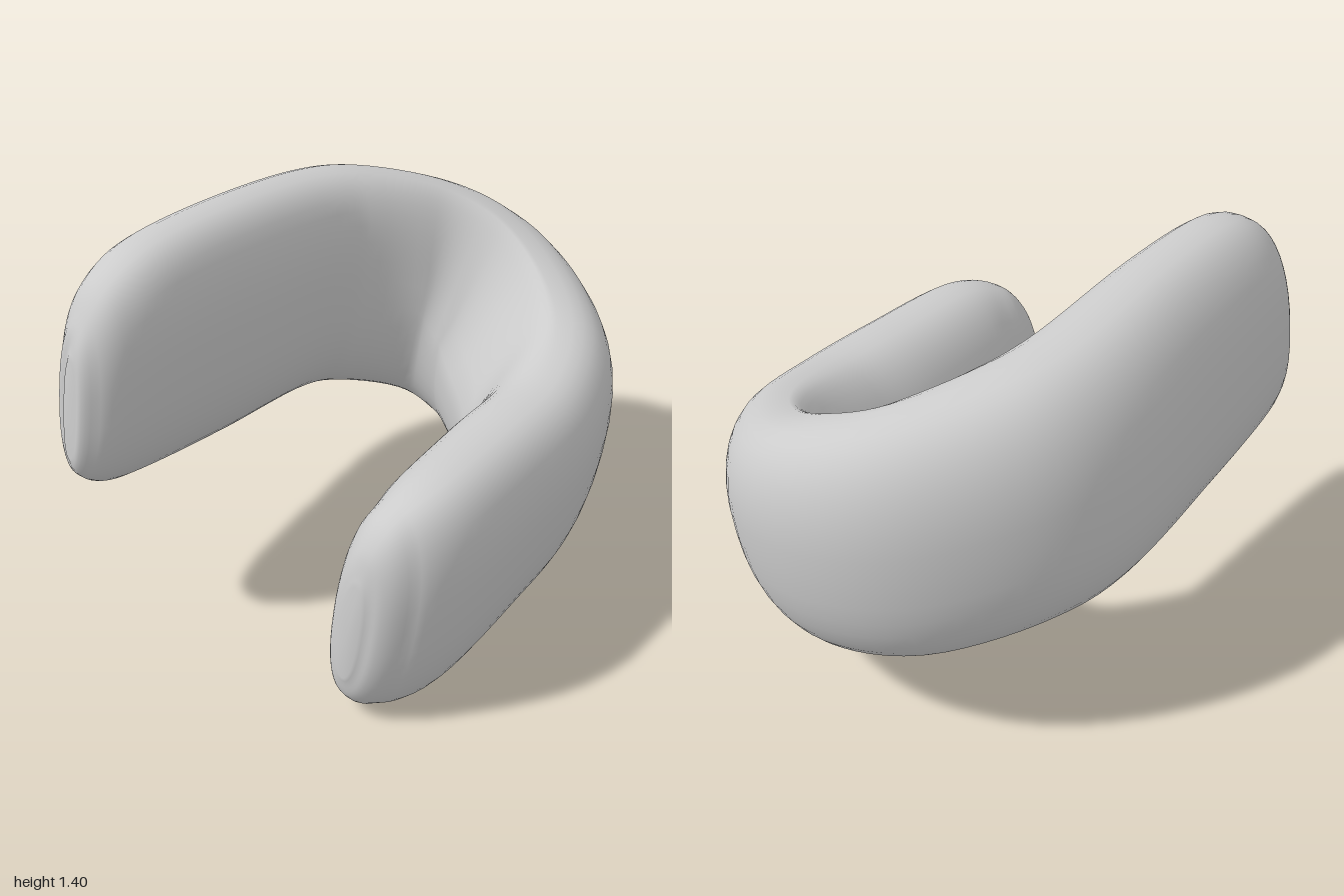
import * as THREE from 'three';

// Sections along the curved cushion: centre x, y, z, half height, half thickness, upper inner slant
const SECTIONS = [
  [-0.41, 0.37, 0.70, 0.18, 0.04, 0],
  [-0.38, 0.385, 0.69, 0.29, 0.10, 0],
  [-0.30, 0.40, 0.67, 0.37, 0.155, 0],
  [-0.13, 0.415, 0.625, 0.412, 0.21, 0],
  [0.20, 0.44, 0.46, 0.40, 0.23, 0],
  [0.46, 0.465, 0.31, 0.39, 0.24, 0.04],
  [0.65, 0.53, 0.10, 0.40, 0.26, 0.14],
  [0.715, 0.61, -0.14, 0.42, 0.27, 0.2],
  [0.68, 0.71, -0.36, 0.43, 0.26, 0.18],
  [0.53, 0.80, -0.53, 0.43, 0.25, 0.1],
  [0.25, 0.88, -0.60, 0.43, 0.25, 0.03],
  [0.00, 0.92, -0.56, 0.43, 0.24, 0],
  [-0.40, 0.96, -0.35, 0.435, 0.22, 0],
  [-0.72, 0.98, -0.18, 0.412, 0.20, 0],
  [-0.88, 0.96, -0.10, 0.36, 0.16, 0],
  [-0.96, 0.93, -0.07, 0.27, 0.10, 0],
  [-0.99, 0.91, -0.065, 0.18, 0.04, 0],
];
const RINGS = 96, SIDES = 40;

// Rounded profile coordinate between a circle and a box
const soft = (v) => Math.sign(v) * Math.pow(Math.abs(v), 0.85);

// Smooth curve through three columns of the section table
const curve = (first) => new THREE.CatmullRomCurve3(
  SECTIONS.map((s) => new THREE.Vector3(s[first], s[first + 1], s[first + 2])), false, 'catmullrom', 0.5);

function sweptCushion() {
  const path = curve(0), size = curve(3);
  const positions = [], index = [];

  for (let i = 0; i <= RINGS; i++) {
    const t = i / RINGS;
    const c = path.getPoint(t), { x: h, y: w, z: slant } = size.getPoint(t);
    const tan = path.getTangent(t);
    const out = new THREE.Vector3(-tan.z, 0, tan.x).normalize();
    const up = new THREE.Vector3(0.1 * h, h, 0.08 * h);
    for (let j = 0; j < SIDES; j++) {
      const a = (j / SIDES) * Math.PI * 2;
      const v = soft(Math.cos(a)), s = soft(Math.sin(a));
      const inset = slant * Math.max(0, v) * Math.max(0, -s);
      const p = c.clone().addScaledVector(up, v).addScaledVector(out, w * s + inset);
      positions.push(p.x, p.y, p.z);
    }
  }
  for (let i = 0; i < RINGS; i++) {
    for (let j = 0; j < SIDES; j++) {
      const k = (j + 1) % SIDES;
      const a = i * SIDES + j, b = i * SIDES + k;
      const d = a + SIDES, e = b + SIDES;
      index.push(a, b, d, b, e, d);
    }
  }

  // Slightly domed closures at both ends
  [0, 1].forEach((t) => {
    const p = path.getPoint(t).addScaledVector(path.getTangent(t), t ? 0.008 : -0.008);
    const tip = positions.length / 3, start = t * RINGS * SIDES;
    positions.push(p.x, p.y, p.z);
    for (let j = 0; j < SIDES; j++) {
      const a = start + j, b = start + ((j + 1) % SIDES);
      if (t) index.push(a, b, tip);
      else index.push(b, a, tip);
    }
  });

  const geometry = new THREE.BufferGeometry();
  geometry.setAttribute('position', new THREE.Float32BufferAttribute(positions, 3));
  geometry.setIndex(index);
  geometry.computeVertexNormals();
  return geometry;
}

export function createModel() {
  const group = new THREE.Group();
  group.name = 'curvedCushion';
  const material = new THREE.MeshStandardMaterial({ color: 0xcccccc });
  const cushion = new THREE.Mesh(sweptCushion(), material);
  cushion.name = 'cushionBody';
  group.add(cushion);
  return group;
}
